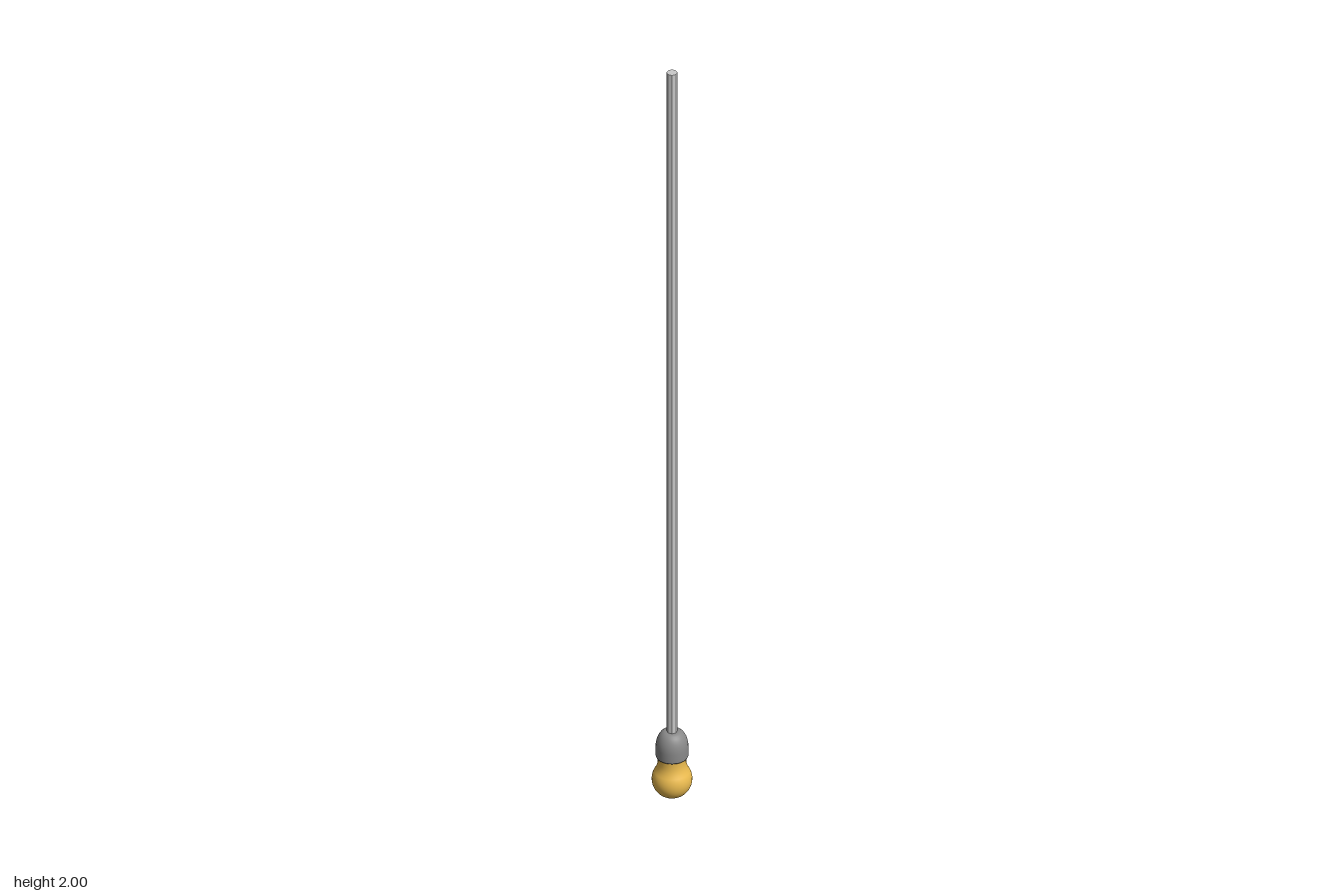
import * as THREE from 'three';

// Revolves a smoothed [radius, height] profile, given from bottom to top.
function turned(name, points, color, segments = 32) {
  const profile = points.map(([r, y]) => new THREE.Vector2(r, y));
  const material = new THREE.MeshStandardMaterial({ color, side: THREE.DoubleSide });
  const mesh = new THREE.Mesh(new THREE.LatheGeometry(profile, segments), material);
  mesh.name = name;
  return mesh;
}

export function createModel() {
  const group = new THREE.Group();
  group.name = 'hangingBulb';

  // Long straight cord, eight-sided
  const cord = new THREE.Mesh(
    new THREE.CylinderGeometry(0.0125, 0.0125, 1.83, 8),
    new THREE.MeshStandardMaterial({ color: 0xcccccc, flatShading: true })
  );
  cord.name = 'cord';
  cord.position.y = 2 - 1.83 / 2;
  group.add(cord);

  // Socket: straight skirt with a domed shoulder, closed below by a flat rim
  const socket = [[0.03, 0.11], [0.037, 0.11], [0.038, 0.113], [0.038, 0.135]];
  for (let i = 1; i <= 8; i++) {
    const a = (i / 8) * Math.PI / 2;
    socket.push([0.014 + 0.024 * Math.cos(a), 0.135 + 0.043 * Math.sin(a)]);
  }
  socket.push([0, 0.178]);
  group.add(turned('socket', socket, 0x8a8a8a));

  // Glass bulb: round globe flowing into the neck inside the socket
  const bulb = [];
  const globe = 0.047;
  for (let i = 0; i <= 16; i++) {
    const a = -Math.PI / 2 + (i / 16) * Math.PI * 0.7;
    bulb.push([Math.max(0, globe * Math.cos(a)), globe + globe * Math.sin(a)]);
  }
  bulb.push([0.035, 0.083], [0.033, 0.092], [0.033, 0.102], [0.033, 0.115]);
  group.add(turned('bulb', bulb, 0xecbc50));

  return group;
}
